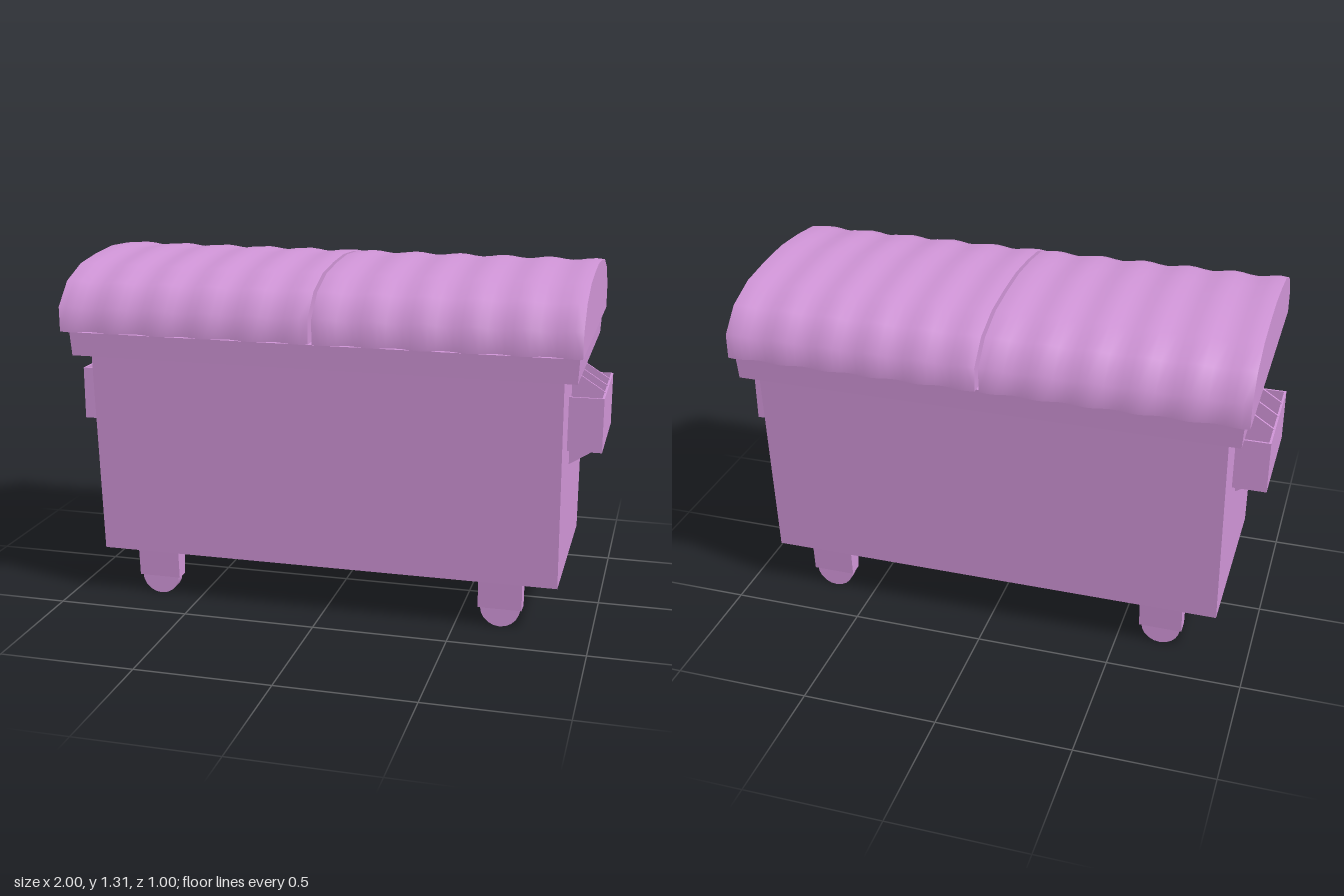
import * as THREE from 'three';

const material = new THREE.MeshStandardMaterial({ color: 0xcf94d6, side: THREE.DoubleSide });

function addMesh(parent, geometry, name) {
  const mesh = new THREE.Mesh(geometry, material);
  mesh.name = name;
  parent.add(mesh);
  return mesh;
}

// Flat-faced loft through rectangles given as [halfX, halfZ, y]
function rectLoft(sections) {
  const pos = [];
  const corner = ([hx, hz, y], i) => [[hx, y, hz], [hx, y, -hz], [-hx, y, -hz], [-hx, y, hz]][i % 4];
  for (let s = 0; s < sections.length - 1; s++) {
    for (let i = 0; i < 4; i++) {
      const a = corner(sections[s], i), b = corner(sections[s], i + 1);
      const c = corner(sections[s + 1], i + 1), d = corner(sections[s + 1], i);
      pos.push(...a, ...b, ...c, ...a, ...c, ...d);
    }
  }
  const g = new THREE.BufferGeometry();
  g.setAttribute('position', new THREE.Float32BufferAttribute(pos, 3));
  g.computeVertexNormals();
  return g;
}

// Arched lid outline as [z, y], front to back
const frontHalf = [[0.5, 1.06], [0.5, 1.155], [0.42, 1.238], [0.295, 1.285], [0.15, 1.303]];
const arch = [...frontHalf, [0, 1.312], ...frontHalf.map(([z, y]) => [-z, y]).reverse()];
const PITCH = 0.174;

// Lid outline shrunk slightly in the shallow grooves, t measured from the centre gap
function lidSection(t) {
  const groove = 0.5 + 0.5 * Math.cos(((t - 0.125) / PITCH) * Math.PI * 2);
  return arch.map(([z, y], i) => {
    const end = i === 0 || i === arch.length - 1;
    return [z * (1 - 0.012 * groove), end ? y + 0.004 * groove : y - 0.009 * groove];
  });
}

function createLid(x0, dir, name) {
  const lid = new THREE.Group();
  lid.name = name;
  const length = 0.94, cols = 32, n = arch.length;
  const pos = [], index = [], under = [];
  for (let c = 0; c <= cols; c++) {
    const t = (c / cols) * length, section = lidSection(t);
    section.forEach(([z, y]) => pos.push(x0 + dir * t, y, z));
    for (const [z, y] of [section[0], section[n - 1]]) under.push(x0 + dir * t, y, z);
  }
  const strip = (width, flip) => {
    const out = [];
    for (let c = 0; c < cols; c++) {
      for (let i = 0; i < width - 1; i++) {
        const a = c * width + i, b = a + 1, d = a + width, e = d + 1;
        out.push(...(flip ? [a, b, d, b, e, d] : [a, d, b, b, d, e]));
      }
    }
    return out;
  };
  const build = (points, idx) => {
    const g = new THREE.BufferGeometry();
    g.setAttribute('position', new THREE.Float32BufferAttribute(points, 3));
    g.setIndex(idx);
    g.computeVertexNormals();
    return g;
  };
  index.push(...strip(n, dir < 0));
  addMesh(lid, build(pos, index), 'lidArch');
  addMesh(lid, build(under, strip(2, dir > 0)), 'lidUnderside');

  // Flat end panels, turned to face outward
  for (const t of [0, length]) {
    const out = t === 0 ? -dir : dir;
    const shape = new THREE.Shape(lidSection(t).map(([z, y]) => new THREE.Vector2(-out * z, y)));
    const end = addMesh(lid, new THREE.ShapeGeometry(shape), 'lidEnd');
    end.rotation.y = out * Math.PI / 2;
    end.position.x = x0 + dir * t;
  }
  return lid;
}

// Lifting pocket: open-topped sleeve braced by three gussets
function createPocket(side) {
  const pocket = new THREE.Group();
  pocket.name = side > 0 ? 'leftPocket' : 'rightPocket';
  const wall = 0.008;
  const plate = addMesh(pocket, new THREE.BoxGeometry(wall, 0.2, 0.424), 'pocketPlate');
  plate.position.set(side * (1 - wall / 2), 0.76, 0.002);
  for (const z of [0.21, -0.206]) {
    const cheek = addMesh(pocket, new THREE.BoxGeometry(0.125, 0.2, wall), 'pocketCheek');
    cheek.position.set(side * 0.9375, 0.76, z);
  }
  const profile = [[0.873, 0.58], [0.998, 0.66], [0.998, 0.86], [0.873, 0.94]];
  const shape = new THREE.Shape(profile.map(([x, y]) => new THREE.Vector2(side * x, y)));
  for (const z of [0.113, 0.007, -0.1]) {
    const gusset = addMesh(pocket, new THREE.ExtrudeGeometry(shape, { depth: wall, bevelEnabled: false }), 'gusset');
    gusset.position.z = z - wall / 2;
  }
  return pocket;
}

// Tapered bracket with a narrow wheel
function createCaster(x, z) {
  const caster = new THREE.Group();
  caster.name = 'caster';
  addMesh(caster, rectLoft([
    [0, 0, 0.072], [0.081, 0.029, 0.072], [0.081, 0.037, 0.182], [0, 0, 0.182],
  ]), 'casterBracket');
  const wheel = addMesh(caster, new THREE.CylinderGeometry(0.074, 0.074, 0.04, 20), 'wheel');
  wheel.rotation.x = Math.PI / 2;
  wheel.position.y = 0.074;
  caster.position.set(x, 0, z);
  return caster;
}

export function createModel() {
  const model = new THREE.Group();
  model.name = 'wasteContainer';

  // Hollow tapered bin with a flared rim
  addMesh(model, rectLoft([
    [0, 0, 0.182], [0.875, 0.356, 0.182], [0.875, 0.405, 0.966], [0.925, 0.462, 0.966],
    [0.93, 0.468, 1.054], [0.84, 0.365, 1.054], [0.84, 0.335, 0.21], [0, 0, 0.21],
  ]), 'bin');

  model.add(createLid(0.002, 1, 'leftLid'), createLid(-0.012, -1, 'rightLid'));
  for (const side of [1, -1]) {
    model.add(createPocket(side));
    for (const z of [0.3, -0.3]) model.add(createCaster(side * 0.665, z));
  }
  return model;
}
